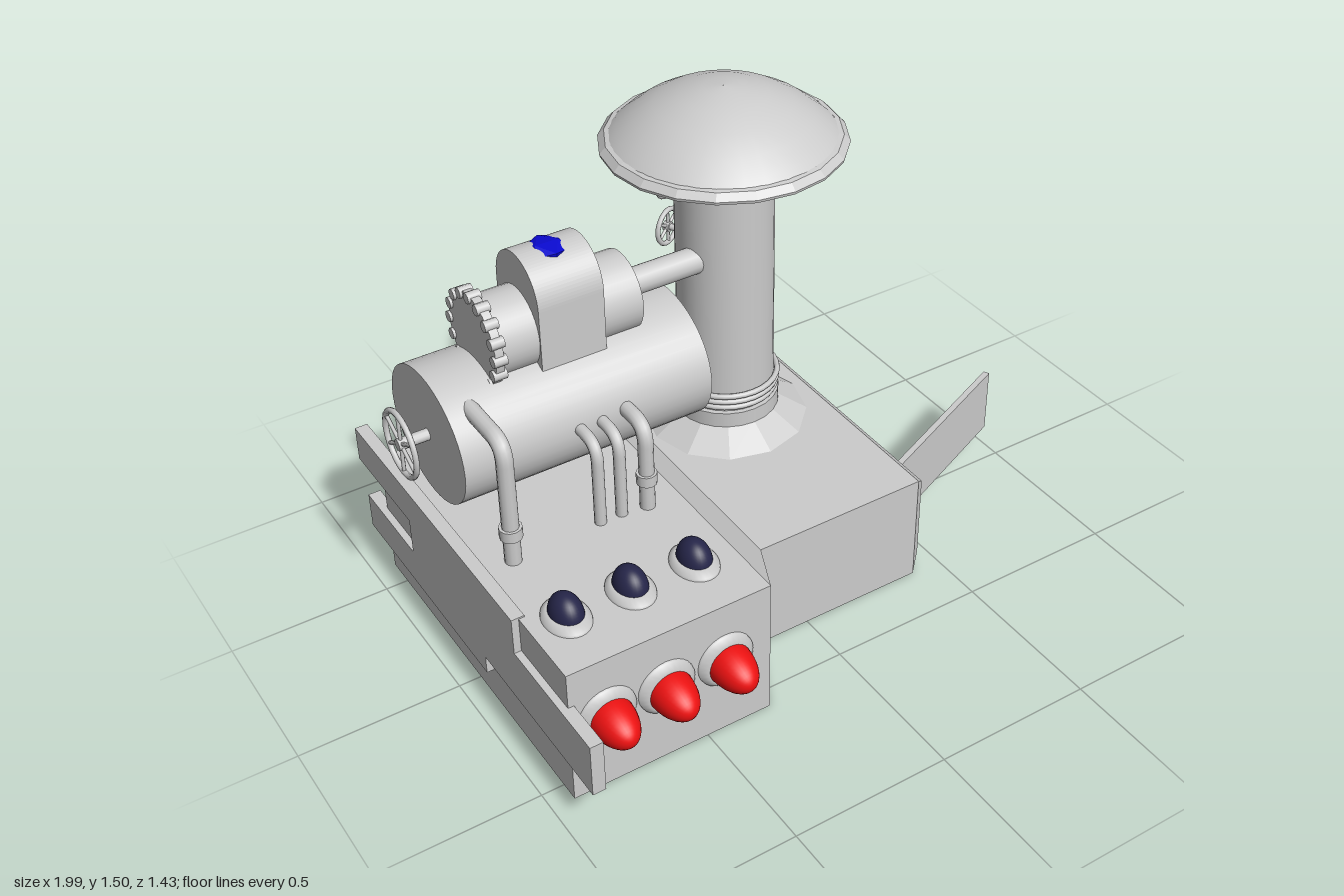
import * as THREE from 'three';

const mat = (color, flatShading = false) =>
  new THREE.MeshStandardMaterial({ color, flatShading, side: THREE.DoubleSide });
const grey = mat(0xcccccc), flat = mat(0xcccccc, true), black = mat(0x0a0a0a, true);
const red = mat(0xee1111), navy = mat(0x26264a), blue = mat(0x0a0ad0, true);
const V = (x, y, z) => new THREE.Vector3(x, y, z);

function add(parent, name, geometry, material, x = 0, y = 0, z = 0) {
  const m = new THREE.Mesh(geometry, material);
  m.name = name;
  m.position.set(x, y, z);
  parent.add(m);
  return m;
}
const box = (w, h, d) => new THREE.BoxGeometry(w, h, d);
const cyl = (r, h, n = 24, r2 = r) => new THREE.CylinderGeometry(r, r2, h, n);
const cylX = (r, h, n = 32) => cyl(r, h, n).rotateZ(Math.PI / 2);
const lathe = (pts, n) => new THREE.LatheGeometry(pts.map(p => new THREE.Vector2(...p)), n);

// Cross-section of the base: five corners, front bottom round to back bottom
const section = (x, front, back, bottom, top, c) => [
  V(x, bottom, front), V(x, top, front), V(x, top, back + c), V(x, top - c, back), V(x, bottom, back)];

// Skin chosen sides of a run of sections, optionally capping both ends
function loft(sections, sides, caps) {
  const out = [];
  const tri = (...p) => p.forEach(v => out.push(v.x, v.y, v.z));
  for (let i = 0; i < sections.length - 1; i++) {
    for (const j of sides) {
      const k = (j + 1) % 5;
      const [a, b, c, d] = [sections[i][j], sections[i][k], sections[i + 1][k], sections[i + 1][j]];
      tri(a, d, c);
      tri(a, c, b);
    }
  }
  if (caps) {
    const s = sections[0], e = sections[sections.length - 1];
    for (let k = 1; k < 4; k++) {
      tri(s[0], s[k], s[k + 1]);
      tri(e[0], e[k + 1], e[k]);
    }
  }
  const g = new THREE.BufferGeometry();
  g.setAttribute('position', new THREE.Float32BufferAttribute(out, 3));
  g.computeVertexNormals();
  return g;
}

// Spoked hand wheel whose axle points along +z
function handWheel(name, r, tube) {
  const g = new THREE.Group();
  g.name = name;
  add(g, 'wheelRim', new THREE.TorusGeometry(r, tube, 8, 24), grey);
  for (let i = 0; i < 3; i++) {
    add(g, 'wheelSpoke', cyl(tube * 0.7, 2 * r, 6), grey).rotation.z = i * Math.PI / 3;
  }
  add(g, 'wheelHub', cyl(tube * 2, tube * 2.5, 12).rotateX(Math.PI / 2), grey);
  return g;
}

// Pipe leaving the boiler forwards, then bending down into the base
function steamPipe(parent, x, y, zEnd, r, collar) {
  const bend = 0.06, path = new THREE.CurvePath();
  path.add(new THREE.LineCurve3(V(x, y, -0.13), V(x, y, zEnd - bend)));
  path.add(new THREE.QuadraticBezierCurve3(V(x, y, zEnd - bend), V(x, y, zEnd), V(x, y - bend, zEnd)));
  path.add(new THREE.LineCurve3(V(x, y - bend, zEnd), V(x, 0.45, zEnd)));
  add(parent, 'steamPipe', new THREE.TubeGeometry(path, 48, r, 12), grey);
  if (collar) add(parent, 'pipeCollar', cyl(r * 1.35, 0.035, 12), grey, x, 0.565, zEnd);
}

function buildBase(g) {
  const outer = [
    section(-0.93, 0.56, -0.59, 0, 0.46, 0.04),
    section(-0.29, 0.56, -0.59, 0, 0.46, 0.04),
    section(-0.17, 0.33, -0.59, 0, 0.365, 0.04),
    section(0.4, 0.33, -0.59, 0, 0.365, 0.04),
    section(0.445, 0.29, -0.55, 0.04, 0.32, 0.02)];
  const recess = [
    outer[4],
    section(0.445, 0.25, -0.52, 0.05, 0.305, 0.001),
    section(0.41, 0.185, -0.44, 0.075, 0.29, 0.001),
    section(0.02, 0.185, -0.44, 0.075, 0.29, 0.001)];
  add(g, 'baseBody', loft(outer, [0, 1, 2]), flat);
  add(g, 'baseUnderside', loft(outer, [3, 4]), black);
  add(g, 'baseRecess', loft(recess, [0, 1, 2, 3, 4]), flat);
  add(g, 'recessBackWall', box(0.01, 0.22, 0.63), flat, 0.02, 0.183, -0.128);
  add(g, 'baseLeftWall', loft([outer[0], outer[0]], [], true), flat);
  add(g, 'recessGem', new THREE.IcosahedronGeometry(0.07, 0), blue, 0.22, 0.165, -0.12);
  add(g, 'openDoor', box(0.59, 0.22, 0.02), flat, 0.72, 0.185, 0.047).rotation.y = 0.407;

  // Forked side plate
  const fork = new THREE.Shape([
    [0.715, 0.17], [0.715, 0.345], [0.3, 0.345], [0.3, 0.465], [-0.715, 0.465], [-0.715, 0.35],
    [-0.36, 0.35], [-0.36, 0.23], [-0.68, 0.23], [-0.68, 0.11], [0.1, 0.11], [0.1, 0.17],
  ].map(p => new THREE.Vector2(...p)));
  const plate = new THREE.ExtrudeGeometry(fork, { depth: 0.04, bevelEnabled: false }).rotateY(-Math.PI / 2);
  add(g, 'forkPlate', plate, flat, -0.912, 0, 0);
}

function buildLamps(g) {
  const ring = lathe([[0.09, 0], [0.088, 0.012], [0.068, 0.03], [0, 0.03]], 28);
  const bulb = new THREE.SphereGeometry(1, 28, 12, 0, Math.PI * 2, 0, Math.PI / 2);
  for (const x of [-0.815, -0.63, -0.44]) {
    add(g, 'frontLampRing', ring, grey, x, 0.265, 0.555).rotation.x = Math.PI / 2;
    const b = add(g, 'frontLampBulb', bulb, red, x, 0.265, 0.575);
    b.rotation.x = Math.PI / 2;
    b.scale.set(0.066, 0.12, 0.066);
  }
  for (const x of [-0.82, -0.62, -0.415]) {
    add(g, 'topLampRing', ring, grey, x, 0.457, 0.365).scale.set(0.75, 0.9, 0.96);
    add(g, 'topLampBulb', bulb, navy, x, 0.475, 0.365).scale.set(0.048, 0.067, 0.062);
  }
}

function buildBoiler(g) {
  const z = -0.25;
  add(g, 'boilerDrum', cylX(1, 0.795, 40), grey, -0.508, 0.722, z).scale.set(1, 0.2, 0.233);
  add(g, 'upperDrum', cylX(0.121, 0.475), grey, -0.502, 0.98, z);
  add(g, 'connectorPipe', cylX(0.042, 0.28, 16), grey, -0.13, 0.99, z);

  // Arched saddle holding a gem
  const arch = new THREE.Shape();
  arch.moveTo(-0.125, 0.85);
  arch.lineTo(0.125, 0.85);
  arch.lineTo(0.125, 1.085);
  arch.absarc(0, 1.085, 0.125, 0, Math.PI);
  const saddle = new THREE.ExtrudeGeometry(arch, { depth: 0.205, bevelEnabled: false, curveSegments: 20 });
  add(g, 'archedSaddle', saddle.rotateY(Math.PI / 2), grey, -0.597, 0, z);
  add(g, 'saddleGem', new THREE.IcosahedronGeometry(0.068, 0), blue, -0.495, 1.196, z).scale.y = 0.3;

  // Bolted end flange
  add(g, 'flange', cylX(0.142, 0.026), grey, -0.73, 0.985, z);
  for (let i = 0; i < 16; i++) {
    const a = i * Math.PI / 8;
    add(g, 'flangeBolt', cylX(0.017, 0.042, 8), grey,
      -0.73, 0.985 + 0.135 * Math.cos(a), z + 0.135 * Math.sin(a));
  }

  // End valve
  add(g, 'valveShaft', cylX(0.018, 0.1, 12), grey, -0.94, 0.722, z);
  const wheel = handWheel('boilerValve', 0.1, 0.009);
  wheel.rotation.y = -Math.PI / 2;
  wheel.position.set(-0.988, 0.722, z);
  g.add(wheel);

  steamPipe(g, -0.83, 0.865, 0.08, 0.025, true);
  steamPipe(g, -0.545, 0.735, 0.07, 0.018, false);
  steamPipe(g, -0.475, 0.735, 0.07, 0.018, false);
  steamPipe(g, -0.395, 0.745, 0.08, 0.023, true);
}

function buildChimney(g) {
  const c = new THREE.Group();
  c.name = 'chimney';
  c.position.set(0.11, 0, -0.29);
  g.add(c);
  add(c, 'chimneyFoot', cyl(0.16, 0.065, 12, 0.262), flat, 0, 0.393);
  add(c, 'footCollar', cyl(0.165, 0.05, 24), grey, 0, 0.447);
  add(c, 'chimneyTube', cyl(0.149, 0.85, 32), grey, 0, 0.84);
  for (const [y, r] of [[0.49, 0.155], [0.512, 0.158], [0.533, 0.16]]) {
    add(c, 'chimneyRing', new THREE.TorusGeometry(r, 0.009, 8, 32).rotateX(Math.PI / 2), grey, 0, y);
  }
  add(c, 'chimneyNeck', cyl(0.073, 0.08, 24), grey, 0, 1.3);
  const cap = [[0.001, 1.505], [0.06, 1.5], [0.13, 1.482], [0.2, 1.453], [0.26, 1.418], [0.31, 1.378], [0.332, 1.357]];
  add(c, 'capDome', lathe(cap.reverse(), 32), grey);
  add(c, 'capRim', lathe([[0, 1.328], [0.362, 1.328], [0.364, 1.337], [0.345, 1.357], [0.33, 1.36]], 20), flat);

  // Framed panel on the back left of the tube
  const panel = new THREE.Group();
  panel.name = 'panel';
  panel.rotation.y = Math.PI * 0.75;
  panel.position.set(0.108, 1.045, -0.108);
  c.add(panel);
  add(panel, 'panelPlate', box(0.15, 0.25, 0.04), flat);
  for (const s of [-1, 1]) {
    add(panel, 'panelFrameSide', box(0.016, 0.25, 0.02), flat, s * 0.067, 0, 0.025);
    add(panel, 'panelFrameEnd', box(0.15, 0.016, 0.02), flat, 0, s * 0.117, 0.025);
  }

  // Two hand wheels on the back
  const turn = Math.PI + 0.45;
  for (const y of [0.98, 1.143]) {
    const wheel = handWheel('chimneyValve', 0.055, 0.008);
    wheel.position.set(0.2 * Math.sin(turn), y, 0.2 * Math.cos(turn));
    wheel.rotation.y = turn;
    add(wheel, 'valveStem', cyl(0.01, 0.07, 10).rotateX(Math.PI / 2), grey, 0, 0, -0.035);
    c.add(wheel);
  }
}

export function createModel() {
  const model = new THREE.Group();
  model.name = 'steamMachine';
  for (const [name, build] of Object.entries({
    base: buildBase, lamps: buildLamps, boiler: buildBoiler, chimneyStack: buildChimney })) {
    const part = new THREE.Group();
    part.name = name;
    build(part);
    model.add(part);
  }
  return model;
}
